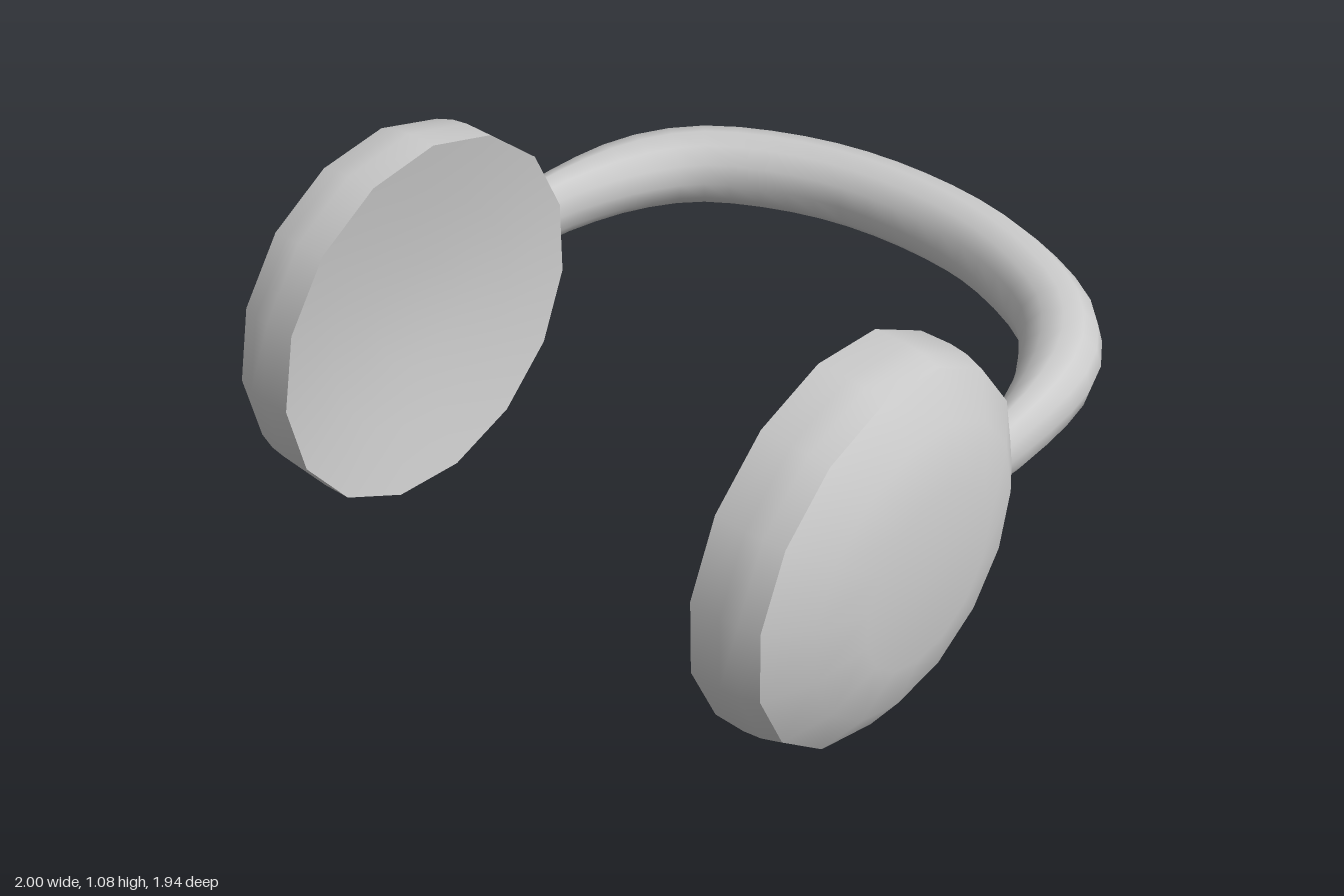
import * as THREE from 'three';
import { toCreasedNormals } from 'three/addons/utils/BufferGeometryUtils.js';

const material = new THREE.MeshStandardMaterial({ color: 0xcccccc });
const CENTRE_Y = 0.542;

// Round ear cup: shallow dish inside, straight wall, domed outside
function earCup(side) {
  const profile = [
    [0, 0.745], [0.15, 0.74], [0.34, 0.722], [0.54, 0.69], // inner dish
    [0.541, 0.78], [0.535, 0.83], [0.518, 0.885],          // wall
    [0.405, 0.96], [0.25, 1.0], [0, 1.0],                  // outer dome
  ].map(([r, h]) => new THREE.Vector2(r, h));
  let geometry = new THREE.LatheGeometry(profile, 15, Math.PI);
  geometry = toCreasedNormals(geometry, 0.6);
  const cup = new THREE.Mesh(geometry, material);
  cup.name = side > 0 ? 'leftEarCup' : 'rightEarCup';
  // axis along x; a corner points back on one cup and forward on the other
  const pivot = new THREE.Group();
  pivot.name = cup.name + 'Mount';
  cup.rotation.z = -Math.PI / 2;
  pivot.add(cup);
  if (side < 0) pivot.rotation.y = Math.PI;
  pivot.position.set(0, CENTRE_Y, 0.428);
  return pivot;
}

// Curved band: oval cross-sections swept along a horizontal arch, slimmer at the ends
function headband() {
  const half = [[0.835, -0.05], [0.835, -0.12], [0.81, -0.32], [0.753, -0.5],
    [0.645, -0.65], [0.475, -0.757], [0.25, -0.835]];
  const path = [...half, [0, -0.86], ...half.slice().reverse().map(([x, z]) => [-x, z])];
  const curve = new THREE.CatmullRomCurve3(path.map(([x, z]) => new THREE.Vector3(x, CENTRE_Y, z)));
  const rings = 28, sides = 12;
  const positions = [], index = [];
  for (let i = 0; i <= rings; i++) {
    const t = i / rings;
    const p = curve.getPointAt(t), d = curve.getTangentAt(t);
    const fromEnd = Math.min(t, 1 - t);
    const wide = THREE.MathUtils.lerp(0.062, 0.113, THREE.MathUtils.smoothstep(fromEnd, 0, 0.2));
    const tall = i === 0 || i === rings ? 0.085
      : THREE.MathUtils.lerp(0.1, 0.115, THREE.MathUtils.smoothstep(fromEnd, 0, 0.3));
    for (let j = 0; j < sides; j++) {
      const a = (j / sides) * Math.PI * 2;
      const o = Math.cos(a) * wide;
      positions.push(p.x - d.z * o, p.y + Math.sin(a) * tall, p.z + d.x * o);
      if (i < rings) {
        const k = (j + 1) % sides, b = i * sides, c = b + sides;
        index.push(b + j, b + k, c + j, b + k, c + k, c + j);
      }
    }
  }
  // end caps
  const last = rings * sides;
  for (let j = 1; j < sides - 1; j++) {
    index.push(0, j + 1, j, last, last + j, last + j + 1);
  }
  let geometry = new THREE.BufferGeometry();
  geometry.setAttribute('position', new THREE.Float32BufferAttribute(positions, 3));
  geometry.setIndex(index);
  geometry = toCreasedNormals(geometry, 0.8);
  const mat = material.clone();
  mat.side = THREE.DoubleSide;
  const band = new THREE.Mesh(geometry, mat);
  band.name = 'headband';
  return band;
}

export function createModel() {
  const model = new THREE.Group();
  model.name = 'headphones';
  model.add(earCup(1), earCup(-1), headband());
  return model;
}
